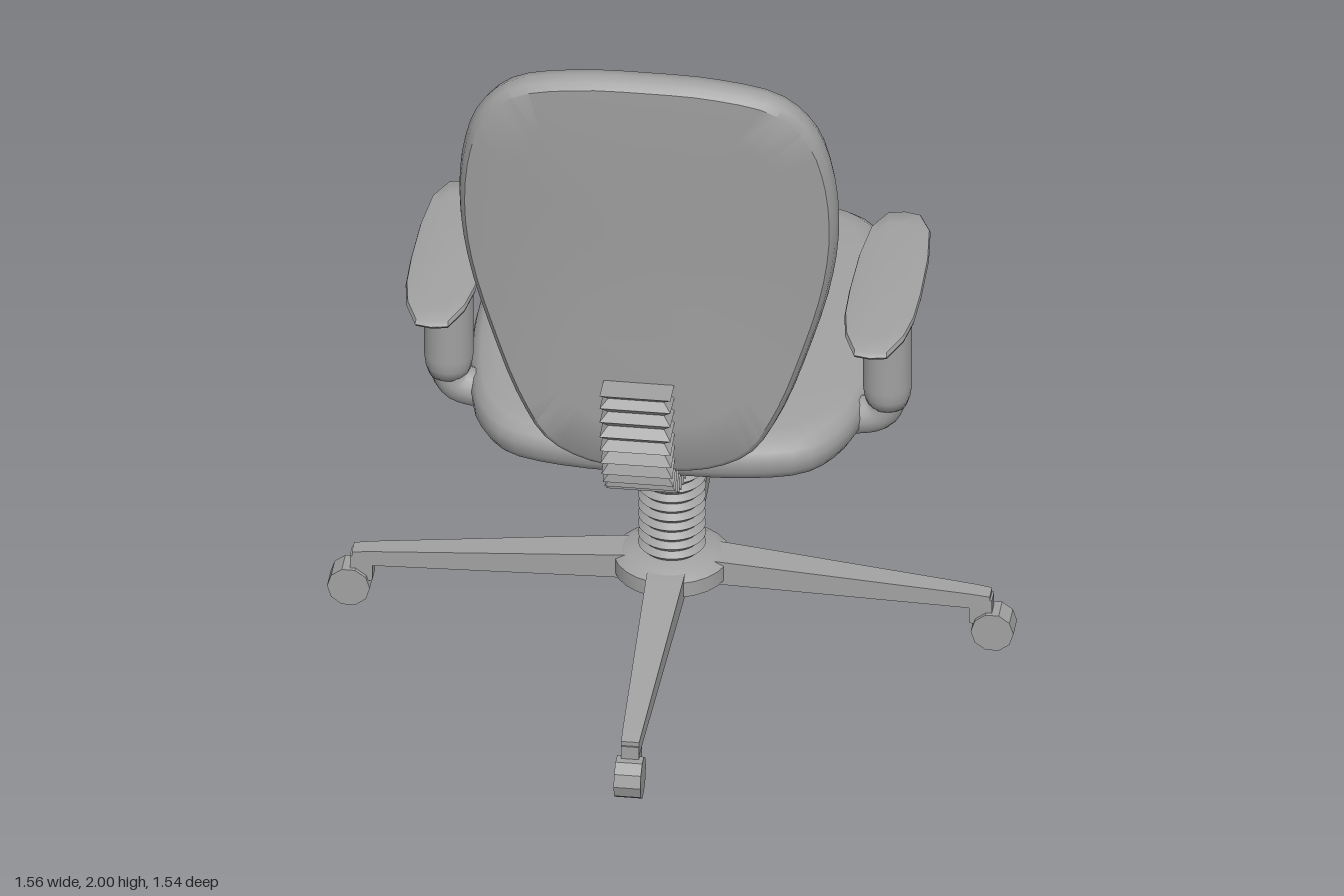
import * as THREE from 'three';
import { toCreasedNormals } from 'three/addons/utils/BufferGeometryUtils.js';

const GREY = 0xa2a2a2;
const smooth = new THREE.MeshStandardMaterial({ color: GREY, side: THREE.DoubleSide });
const flat = new THREE.MeshStandardMaterial({ color: GREY, side: THREE.DoubleSide, flatShading: true });
const V3 = (x, y, z) => new THREE.Vector3(x, y, z);

function add(parent, name, geometry, material = smooth) {
  const m = new THREE.Mesh(geometry, material);
  m.name = name;
  parent.add(m);
  return m;
}

// Skin a list of closed rings that all have the same number of points
function skin(rings) {
  const n = rings[0].length, pos = [], idx = [];
  rings.forEach(r => r.forEach(p => pos.push(p.x, p.y, p.z)));
  for (let i = 0; i < rings.length - 1; i++)
    for (let j = 0; j < n; j++) {
      const a = i * n + j, b = i * n + (j + 1) % n;
      idx.push(a, a + n, b, b, a + n, b + n);
    }
  const g = new THREE.BufferGeometry();
  g.setAttribute('position', new THREE.Float32BufferAttribute(pos, 3));
  g.setIndex(idx);
  g.computeVertexNormals();
  return g;
}

// Mirrored half outline, swept through a profile of [scale, height] pairs
function pad(half, profile, map, steps = 64) {
  const mirror = half.slice(1, -1).reverse().map(([u, v]) => [-u, v]);
  const pts = [...half, ...mirror].map(([u, v]) => V3(u, v, 0));
  const outline = steps
    ? new THREE.CatmullRomCurve3(pts, true).getPoints(steps).slice(0, -1)
    : pts;
  return skin(profile.map(([s, h]) => outline.map(p => map(p.x * s, p.y * s, h))));
}

// Rectangular ring facing +z
const rect = (w, top, bottom, z) => [V3(w, top, z), V3(w, bottom, z), V3(-w, bottom, z), V3(-w, top, z)];

function buildBase() {
  const base = new THREE.Group();
  base.name = 'base';
  const lathe = (pts, seg) => toCreasedNormals(
    new THREE.LatheGeometry(pts.map(p => new THREE.Vector2(...p)), seg), 0.5);
  add(base, 'hub', lathe([[0, 0.142], [0.12, 0.142], [0.14, 0.155], [0.14, 0.195], [0.11, 0.213], [0, 0.22]], 24));

  // Ribbed column cover
  const ribs = 15, y0 = 0.215, y1 = 0.62, col = [[0, y0]];
  for (let i = 0; i <= ribs * 2; i++) col.push([i % 2 ? 0.082 : 0.068, y0 + (y1 - y0) * i / (ribs * 2)]);
  col.push([0.079, 0.625], [0.079, 0.637], [0.07, 0.645], [0, 0.645]);
  add(base, 'columnBellows', lathe(col, 28));
  add(base, 'gasLift', new THREE.CylinderGeometry(0.023, 0.023, 0.18, 16)).position.y = 0.72;

  // Four tapered legs with casters
  for (let i = 0; i < 4; i++) {
    const leg = new THREE.Group();
    leg.name = 'leg' + (i + 1);
    leg.rotation.y = i * Math.PI / 2;
    add(leg, 'legArm', skin([
      rect(0, 0.18, 0.18, 0.05), rect(0.047, 0.212, 0.142, 0.05), rect(0.045, 0.205, 0.142, 0.14),
      rect(0.024, 0.152, 0.112, 0.73), rect(0.022, 0.146, 0.105, 0.775), rect(0, 0.13, 0.13, 0.775),
    ]), flat);
    add(leg, 'casterFork', skin([
      rect(0, 0.1, 0.1, 0.725), rect(0.022, 0.13, 0.07, 0.725), rect(0.022, 0.135, 0.05, 0.78), rect(0, 0.1, 0.1, 0.78),
    ]), flat);
    const wheel = add(leg, 'casterWheel', new THREE.CylinderGeometry(0.052, 0.052, 0.065, 10), flat);
    wheel.rotation.z = Math.PI / 2;
    wheel.position.set(0, 0.051, 0.782);
    base.add(leg);
  }
  return base;
}

function buildSpine() {
  // Ribbed support curving from under the seat up behind the backrest
  const path = new THREE.CatmullRomCurve3([
    [0.772, 0.19], [0.76, 0.3], [0.757, 0.43], [0.795, 0.56], [0.88, 0.655], [0.98, 0.69], [1.11, 0.69],
  ].map(([y, z]) => V3(0, y, z)));
  const ribs = 20, rings = [];
  const section = (t, w, d) => {
    const p = path.getPointAt(t), k = path.getTangentAt(t), n = V3(0, k.z, -k.y);
    return [[w, d], [w, -d], [-w, -d], [-w, d]].map(([x, s]) => p.clone().addScaledVector(n, s).setX(x));
  };
  rings.push(section(0, 0, 0));
  for (let i = 0; i <= ribs * 2; i++) {
    const t = i / (ribs * 2), grow = Math.min(1, 0.4 + t * 2);
    rings.push(i % 2 ? section(t, 0.068, 0.034 * grow) : section(t, 0.086, 0.055 * grow));
  }
  rings.push(section(1, 0, 0));
  return skin(rings);
}

function buildArm(side) {
  const arm = new THREE.Group();
  arm.name = side > 0 ? 'leftArmrest' : 'rightArmrest';
  arm.position.set(side * 0.533, 0, 0.285);
  const outline = [[0, -0.328], [0.04, -0.318], [0.072, -0.25], [0.085, -0.12], [0.088, 0.04], [0.085, 0.15],
    [0.071, 0.24], [0.04, 0.32], [0, 0.328]];
  add(arm, 'armPad', toCreasedNormals(pad(outline,
    [[0, 1.13], [0.3, 1.135], [0.6, 1.15], [0.85, 1.166], [0.97, 1.178], [1, 1.188], [0.97, 1.197], [0.8, 1.201], [0, 1.203]],
    (u, v, h) => V3(u, h, v), 0), 0.8));
  add(arm, 'armPost', new THREE.LatheGeometry([
    [0, 0.85], [0.048, 0.855], [0.056, 0.88], [0.06, 0.91], [0.06, 1.1], [0.066, 1.125], [0.082, 1.155],
  ].map(p => new THREE.Vector2(...p)), 20));
  const bend = new THREE.CatmullRomCurve3([
    V3(0, 0.91, 0), V3(0, 0.87, 0), V3(-side * 0.02, 0.83, 0), V3(-side * 0.065, 0.815, 0), V3(-side * 0.14, 0.815, 0),
  ]);
  add(arm, 'armElbow', new THREE.TubeGeometry(bend, 16, 0.047, 14));
  return arm;
}

export function createModel() {
  const model = new THREE.Group();
  model.name = 'officeChair';
  const chair = new THREE.Group();
  chair.name = 'turnedChair';
  chair.rotation.y = Math.PI / 6;
  chair.position.set(-0.042, 0, -0.036);
  model.add(chair);
  chair.add(buildBase());

  const upper = new THREE.Group();
  upper.name = 'upperChair';
  upper.position.x = 0.028;
  chair.add(upper);

  // Seat cushion with a flat underside
  const seatHalf = [[0, -0.58], [0.18, -0.575], [0.31, -0.557], [0.395, -0.505], [0.455, -0.36], [0.495, -0.15],
    [0.503, 0.05], [0.485, 0.25], [0.45, 0.41], [0.375, 0.52], [0.23, 0.565], [0, 0.573]];
  add(upper, 'seat', toCreasedNormals(pad(seatHalf,
    [[0, 0.782], [0.9, 0.782], [0.93, 0.772], [0.97, 0.778], [0.994, 0.8], [1, 0.83], [0.988, 0.855], [0.95, 0.874],
      [0.88, 0.882], [0.6, 0.887], [0, 0.888]],
    (u, v, h) => V3(u, h, v)), 0.9));

  // Backrest cushion, wide at the shoulders and leaning back towards the top
  const backHalf = [[0, -0.6], [0.14, -0.59], [0.25, -0.535], [0.32, -0.42], [0.385, -0.24], [0.44, -0.04],
    [0.461, 0.13], [0.45, 0.3], [0.41, 0.43], [0.33, 0.515], [0.18, 0.551], [0, 0.558]];
  add(upper, 'backrest', toCreasedNormals(pad(backHalf,
    [[0, -0.072], [0.4, -0.069], [0.75, -0.06], [0.96, -0.046], [0.988, -0.03], [1, 0], [0.985, 0.03], [0.94, 0.058],
      [0.85, 0.075], [0.6, 0.088], [0.3, 0.094], [0, 0.096]],
    (u, v, h) => {
      const y = v + 1.44;
      return V3(u, y, 0.607 + 0.1 * (y - 1.1) ** 2 - h);
    }), 0.7));

  add(upper, 'backSupport', buildSpine(), flat).position.x = -0.02;
  for (const side of [1, -1]) upper.add(buildArm(side));
  return model;
}
